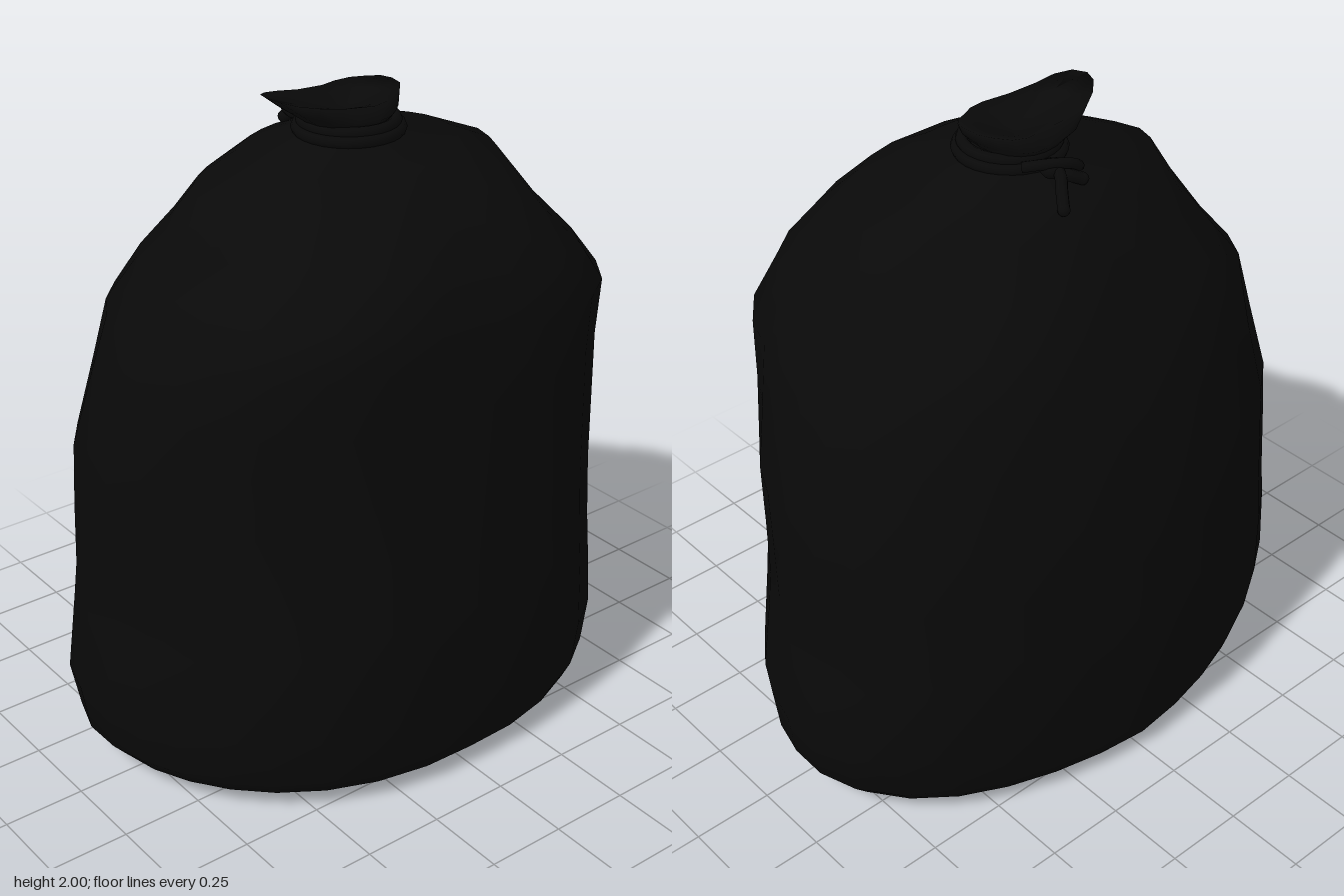
import * as THREE from 'three';

const black = new THREE.MeshStandardMaterial({ color: 0x090909 });
const blackThin = new THREE.MeshStandardMaterial({ color: 0x090909, side: THREE.DoubleSide });

// Smooth closed skin through rings; point(ring, angle) returns [x, y, z]
function loft(rings, segments, point) {
  const positions = [], index = [];
  rings.forEach((ring, r) => {
    for (let i = 0; i < segments; i++) {
      positions.push(...point(ring, (i / segments) * Math.PI * 2));
      if (r === 0) continue;
      const j = (i + 1) % segments;
      const a = (r - 1) * segments + i, b = (r - 1) * segments + j;
      const c = r * segments + i, d = r * segments + j;
      index.push(a, c, b, b, c, d);
    }
  });
  const geometry = new THREE.BufferGeometry();
  geometry.setAttribute('position', new THREE.Float32BufferAttribute(positions, 3));
  geometry.setIndex(index);
  geometry.computeVertexNormals();
  return geometry;
}

function addMesh(group, name, geometry, material = black) {
  const mesh = new THREE.Mesh(geometry, material);
  mesh.name = name;
  group.add(mesh);
  return mesh;
}

// Sagging sack: [height, half width, [front depth, squareness, skew], [back depth, squareness, skew]]
// Positive skew fills the broad faces, negative skew fills the narrow sides
const bodyRings = [
  [0, 0, [0, 2, 0], [0, 2, 0]],
  [0.008, 0.32, [0.24, 2, 0], [0.24, 2, 0]],
  [0.022, 0.64, [0.47, 2, 0.01], [0.49, 2.1, -0.01]],
  [0.065, 0.84, [0.61, 2, 0.015], [0.61, 2.1, -0.02]],
  [0.11, 0.88, [0.625, 1.98, 0.02], [0.62, 2.1, -0.025]],
  [0.26, 0.9, [0.64, 1.98, 0.022], [0.635, 2.15, -0.03]],
  [0.5, 0.852, [0.66, 1.98, 0.022], [0.66, 2.22, -0.03]],
  [0.6, 0.84, [0.657, 1.98, 0.022], [0.655, 2.22, -0.03]],
  [0.8, 0.845, [0.648, 1.93, 0.02], [0.645, 2.15, -0.025]],
  [1.0, 0.85, [0.64, 1.93, 0.02], [0.632, 2.1, -0.015]],
  [1.22, 0.797, [0.625, 2.2, 0.02], [0.572, 2.15, 0]],
  [1.4, 0.75, [0.612, 2.7, 0.02], [0.522, 2.3, 0.02]],
  [1.52, 0.655, [0.575, 2.75, 0.035], [0.45, 2.4, 0.04]],
  [1.63, 0.58, [0.525, 2.15, 0.045], [0.41, 1.9, 0.025]],
  [1.75, 0.5, [0.415, 1.9, 0.035], [0.33, 1.7, 0]],
  [1.815, 0.34, [0.3, 1.95, 0.01], [0.26, 1.85, 0]],
  [1.855, 0.16, [0.16, 2, 0], [0.15, 2, 0]],
  [1.92, 0.1, [0.1, 2, 0], [0.1, 2, 0]],
];

function bodyPoint([y, width, front, back], angle) {
  const c = Math.cos(angle), s = Math.sin(angle);
  const [depth, n, skew] = s > 0 ? front : back;
  const corner = Math.atan2(Math.abs(s), Math.abs(c));
  const r = (1 - skew * Math.sin(4 * corner)) / (Math.abs(c) ** n + Math.abs(s) ** n) ** (1 / n);
  return [c * r * width, y, s * r * depth];
}

// Gathered mouth: [left reach, right reach, half depth, height, tilt of the rim]
const ruffRings = [
  [0.13, 0.125, 0.115, 1.875, 0],
  [0.14, 0.115, 0.135, 1.9, 0],
  [0.2, 0.14, 0.15, 1.918, 0.5],
  [0.28, 0.165, 0.12, 1.953, 1],
  [0.2, 0.11, 0.08, 1.94, 0.7],
  [0.07, 0.04, 0.03, 1.92, 0.2],
  [0, 0, 0, 1.915, 0],
];

function ruffPoint([left, right, depth, y, tilt], angle) {
  const c = Math.cos(angle), s = Math.sin(angle);
  const crumple = 1 + 0.08 * tilt * Math.sin(angle * 5 + 0.5);
  const lift = c < 0 ? 0.047 * c * c : 0.018 * c * c;
  const blunt = Math.sign(s) * Math.abs(s) ** 0.85;
  return [c * (c < 0 ? left : right), y + tilt * lift, blunt * depth * crumple];
}

function cord(points, radius) {
  const curve = new THREE.CatmullRomCurve3(points.map((p) => new THREE.Vector3(...p)));
  return new THREE.TubeGeometry(curve, 14, radius, 8, false);
}

export function createModel() {
  const model = new THREE.Group();
  model.name = 'tiedSack';

  addMesh(model, 'sackBody', loft(bodyRings, 32, bodyPoint));
  addMesh(model, 'gatheredMouth', loft(ruffRings, 20, ruffPoint), blackThin);

  // Cord wound twice around the neck
  const tie = new THREE.Group();
  tie.name = 'neckTie';
  model.add(tie);
  [[1.866, 0.148], [1.888, 0.134]].forEach(([y, radius], i) => {
    const ring = addMesh(tie, i ? 'upperCord' : 'lowerCord', new THREE.TorusGeometry(radius, 0.018, 8, 28));
    ring.rotation.x = Math.PI / 2;
    ring.position.set(0, y, 0.012);
  });

  // Knot at the back with a loop and two loose ends
  const knot = addMesh(tie, 'knot', new THREE.SphereGeometry(0.034, 12, 8));
  knot.scale.set(1.1, 0.85, 1);
  knot.position.set(0.015, 1.875, -0.18);
  addMesh(tie, 'cordLoop', cord([[0.08, 1.88, -0.13], [0.04, 1.895, -0.18], [-0.02, 1.89, -0.21],
    [-0.055, 1.87, -0.21], [-0.04, 1.86, -0.17], [0.01, 1.87, -0.16]], 0.016));
  const ends = [
    [[0.01, 1.88, -0.17], [0.02, 1.87, -0.215], [0.045, 1.84, -0.25], [0.07, 1.81, -0.285]],
    [[0.01, 1.875, -0.17], [-0.01, 1.86, -0.21], [-0.05, 1.84, -0.23]],
  ];
  for (const points of ends) {
    addMesh(tie, 'cordEnd', cord(points, 0.018));
    const tip = addMesh(tie, 'cordTip', new THREE.SphereGeometry(0.0185, 8, 6));
    tip.position.set(...points[points.length - 1]);
  }

  return model;
}
